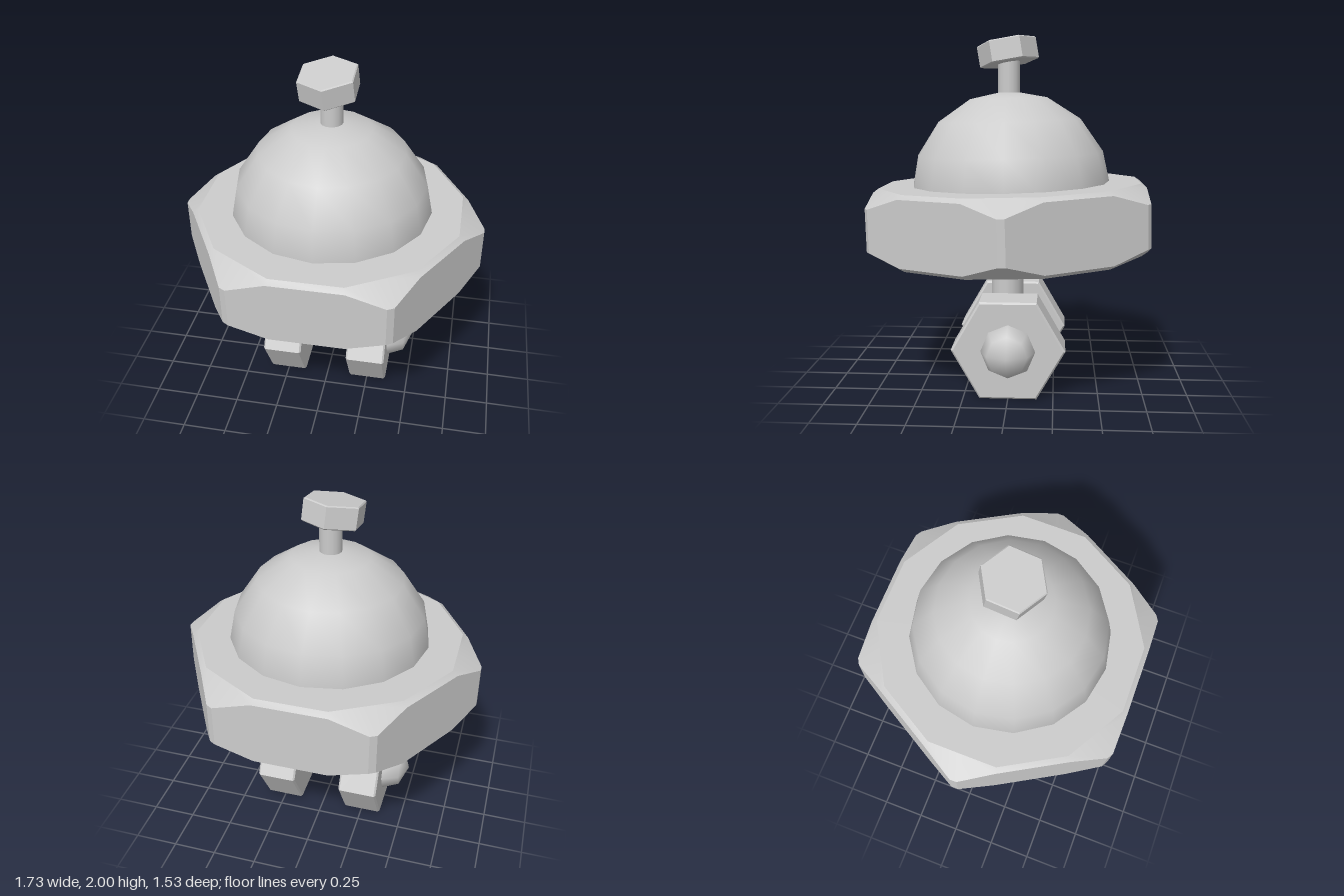
import * as THREE from 'three';
import { toCreasedNormals } from 'three/addons/utils/BufferGeometryUtils.js';

const material = new THREE.MeshStandardMaterial({ color: 0xcccccc });

function add(parent, name, geometry, x = 0, y = 0, z = 0) {
  const mesh = new THREE.Mesh(geometry, material);
  mesh.name = name;
  mesh.position.set(x, y, z);
  parent.add(mesh);
  return mesh;
}

// Small hexagonal block along z with a thin bevel, centred
function hexBlock(radius, depth, bevel, turn) {
  const points = [];
  for (let i = 0; i < 6; i++) {
    const a = turn + i * Math.PI / 3;
    points.push(new THREE.Vector2(radius * Math.cos(a), radius * Math.sin(a)));
  }
  const geometry = new THREE.ExtrudeGeometry(new THREE.Shape(points), {
    depth: depth - 2 * bevel, bevelEnabled: true, bevelSegments: 1,
    bevelThickness: bevel, bevelSize: bevel, bevelOffset: -bevel,
  });
  return geometry.translate(0, 0, bevel - depth / 2);
}

// Large nut: hexagonal sides whose corners are cut by a chamfer above and below
function chamferedNut(halfHeight) {
  const loop = [];
  for (let k = 0; k < 6; k++) {
    const c = k * 60;
    loop.push({ a: c - 15, r: 0.787, cap: 0.756, drop: 0.022 });
    loop.push({ a: c - 1.35, r: 0.866, cap: 0.731, drop: 0.085 });
    loop.push({ a: c + 1.35, r: 0.866, cap: 0.731, drop: 0.085 });
    loop.push({ a: c + 15, r: 0.787, cap: 0.756, drop: 0.022 });
  }
  const h = halfHeight;
  const rows = [
    () => [0, h], (p) => [p.cap, h], (p) => [p.r, h - p.drop],
    (p) => [p.r, p.drop - h], (p) => [p.cap, -h], () => [0, -h],
  ];
  const positions = [], index = [], n = loop.length;
  rows.forEach((row, i) => loop.forEach((p, j) => {
    const [r, y] = row(p), a = THREE.MathUtils.degToRad(p.a);
    positions.push(r * Math.cos(a), y, -r * Math.sin(a));
    if (i === rows.length - 1) return;
    const s = i * n + j, t = i * n + (j + 1) % n;
    if (i < rows.length - 2) index.push(s, s + n, t + n);
    if (i > 0) index.push(s, t + n, t);
  }));
  const geometry = new THREE.BufferGeometry();
  geometry.setAttribute('position', new THREE.Float32BufferAttribute(positions, 3));
  geometry.setIndex(index);
  return toCreasedNormals(geometry, 0.4);
}

export function createModel() {
  const model = new THREE.Group();
  model.name = 'nutAndBoltFigure';

  // Body: wide nut with a faceted dome, leaning slightly forward
  const body = new THREE.Group();
  body.name = 'body';
  body.position.y = 0.967;
  body.rotation.x = 0.025;
  model.add(body);
  add(body, 'largeNut', chamferedNut(0.203));
  add(body, 'dome', new THREE.SphereGeometry(0.577, 16, 4, 0, Math.PI * 2, 0, Math.PI / 2), 0, 0.153, 0);

  // Top bolt: thin stem and tilted hexagonal head
  add(model, 'topStem', new THREE.CylinderGeometry(0.062, 0.062, 0.26, 16), 0, 1.76, 0.015);
  const head = add(model, 'topHead', hexBlock(0.17, 0.125, 0.006, Math.PI / 2).rotateX(-Math.PI / 2), -0.015, 1.911, 0.022);
  head.rotation.set(0.17, 0, 0.08);

  // Shank joining the body to the axle
  const shank = add(model, 'shank', new THREE.CylinderGeometry(0.113, 0.113, 0.52, 16), 0, 0.56, 0.023);
  shank.scale.z = 0.83;

  // Axle with a nut and a rounded end on each side
  add(model, 'axle', new THREE.CylinderGeometry(0.12, 0.12, 0.6, 16).rotateZ(Math.PI / 2), 0, 0.272, 0);
  for (const [side, s] of [['left', 1], ['right', -1]]) {
    add(model, side + 'Nut', hexBlock(0.3165, 0.228, 0.01, 0).rotateY(Math.PI / 2), s * 0.252, 0.274, 0);
    const end = new THREE.SphereGeometry(0.158, 8, 4).rotateZ(Math.PI / 2);
    add(model, side + 'AxleEnd', end, s * 0.35, 0.272, 0);
  }
  return model;
}
